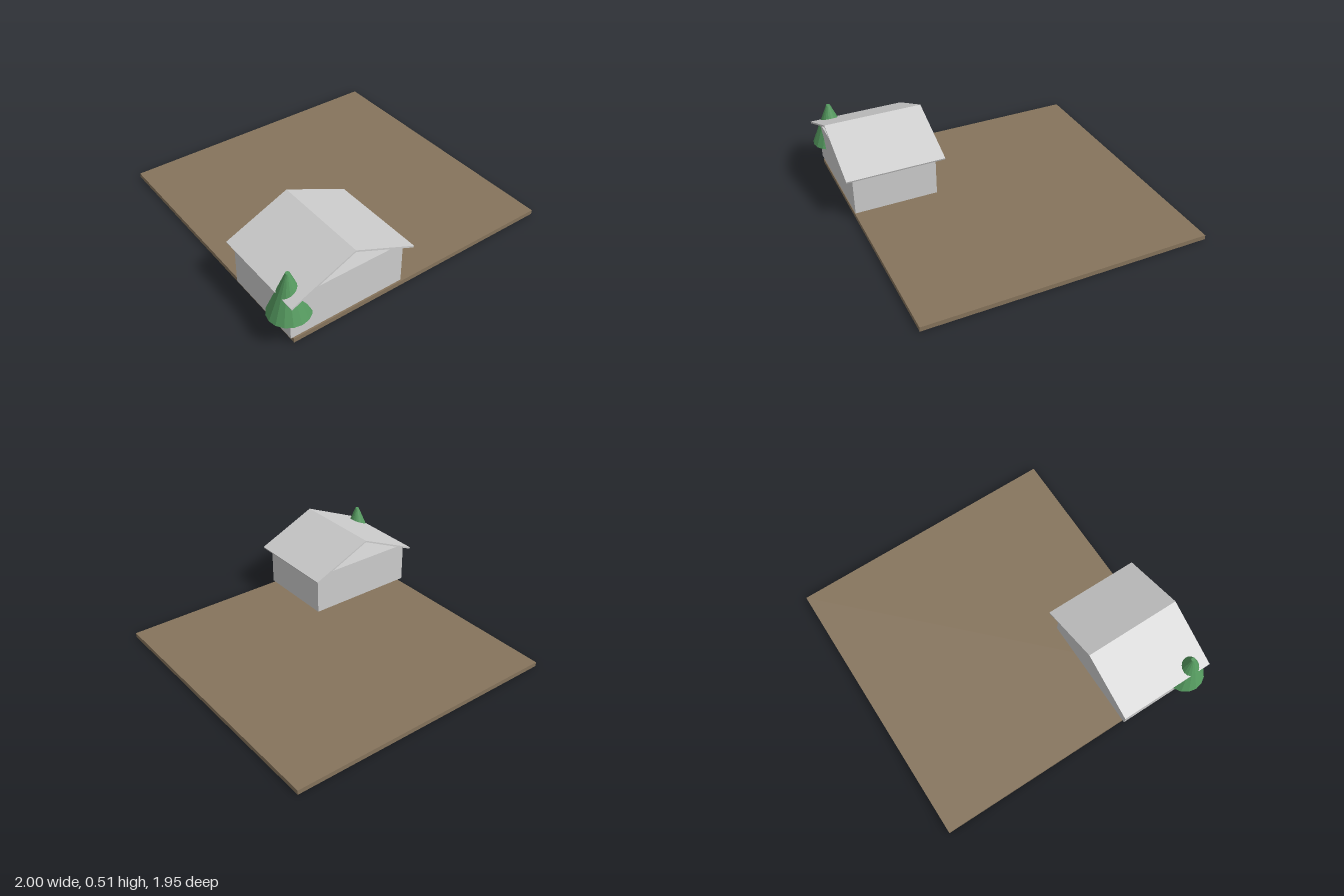
import * as THREE from 'three';

const ground = new THREE.MeshStandardMaterial({ color: 0x86745c });
ground.name = 'earth brown';
const grey = new THREE.MeshStandardMaterial({ color: 0xcdcdcd });
grey.name = 'light grey';
const green = new THREE.MeshStandardMaterial({ color: 0x559a5f, flatShading: true });
green.name = 'leaf green';
const bark = new THREE.MeshStandardMaterial({ color: 0x6b4e38 });
bark.name = 'bark brown';

// Box given by its lower and upper corners
function boxBetween(name, [x0, y0, z0], [x1, y1, z1], material) {
  const mesh = new THREE.Mesh(new THREE.BoxGeometry(x1 - x0, y1 - y0, z1 - z0), material);
  mesh.position.set((x0 + x1) / 2, (y0 + y1) / 2, (z0 + z1) / 2);
  mesh.name = name;
  return mesh;
}

function createHouse() {
  const house = new THREE.Group();
  house.name = 'house';
  const x0 = -0.91, x1 = -0.13, z0 = 0.35, z1 = 0.91, y0 = 0.045, y1 = 0.33, t = 0.016;

  // Wall panels with a flat floor and ceiling, raised slightly off the plot
  house.add(
    boxBetween('frontWall', [x0 + t, y0, z1 - t], [x1, y1, z1], grey),
    boxBetween('backWall', [x0 + t, y0, z0], [x1, y1, z0 + t], grey),
    boxBetween('leftWall', [x1 - t, y0, z0 + t], [x1, y1, z1 - t], grey),
    boxBetween('rightWall', [x0, y0, z0], [x0 + t, y1, z1], grey),
    boxBetween('floor', [x0 + t, y0, z0 + t], [x1 - t, y0 + t, z1 - t], grey),
    boxBetween('ceiling', [x0 + t, y1 - t, z0 + t], [x1 - t, y1, z1 - t], grey),
  );

  // Thin gable roof, open at both ends
  const ridge = 0.507, eave = 0.321, half = 0.422, thick = 0.011;
  for (const side of [-1, 1]) {
    const slope = new THREE.Shape();
    slope.moveTo(0, ridge);
    slope.lineTo(side * half, eave);
    slope.lineTo(side * (half - 0.004), eave - thick);
    slope.lineTo(0, ridge - thick);
    const geometry = new THREE.ExtrudeGeometry(slope, { depth: 0.66, bevelEnabled: false });
    const mesh = new THREE.Mesh(geometry, grey);
    mesh.position.set(-0.51, 0, 0.298);
    mesh.name = side < 0 ? 'rightRoofSlope' : 'leftRoofSlope';
    house.add(mesh);
  }
  return house;
}

function createTree() {
  const tree = new THREE.Group();
  tree.name = 'tree';
  tree.position.set(-0.87, 0, 0.838);
  const trunk = new THREE.Mesh(new THREE.CylinderGeometry(0.01, 0.01, 0.16, 8), bark);
  trunk.position.set(0.006, 0.105, 0);
  trunk.name = 'trunk';
  // Blunt-tipped cone of foliage
  const foliage = new THREE.Mesh(new THREE.CylinderGeometry(0.013, 0.13, 0.28, 16), green);
  foliage.position.y = 0.315;
  foliage.name = 'foliage';
  tree.add(trunk, foliage);
  return tree;
}

export function createModel() {
  const model = new THREE.Group();
  model.name = 'housePlot';
  model.add(
    boxBetween('ground', [-0.89, 0, -0.98], [1, 0.03, 0.91], ground),
    createHouse(),
    createTree(),
  );
  return model;
}
